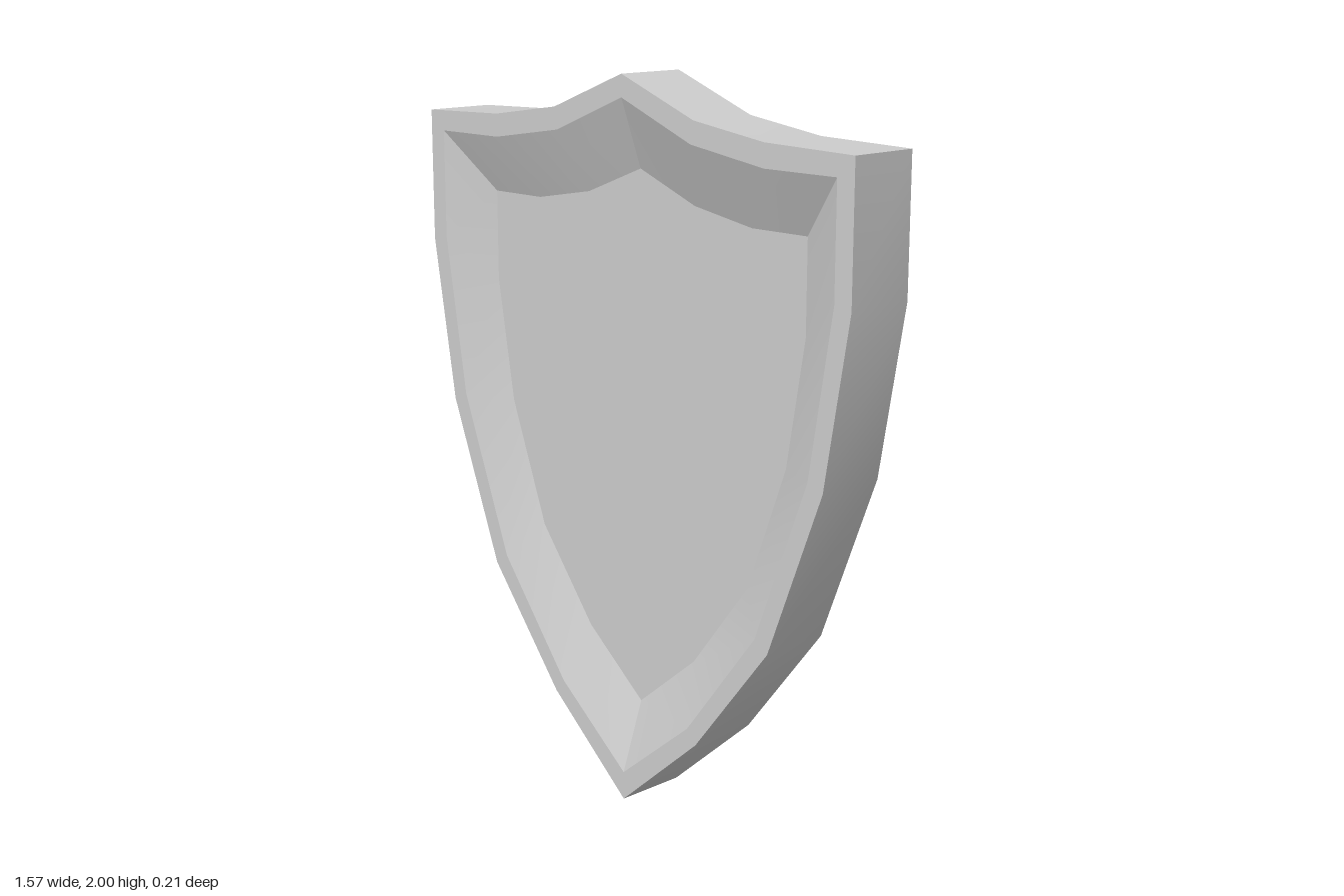
import * as THREE from 'three';
import { mergeGeometries } from 'three/addons/utils/BufferGeometryUtils.js';

// Half outlines, from the top peak over the corner (index 3) down to the tip
const OUTER = [[0, 2], [0.26, 1.9], [0.5, 1.865], [0.787, 1.857], [0.787, 1.49], [0.71, 1.03], [0.535, 0.57], [0.28, 0.245], [0, 0]];
const RIM = [[0, 1.94], [0.25, 1.84], [0.5, 1.802], [0.733, 1.802], [0.733, 1.5], [0.66, 1.05], [0.49, 0.6], [0.248, 0.283], [0, 0.08]];
const FLOOR = [[0, 1.753], [0.2, 1.675], [0.4, 1.64], [0.585, 1.64], [0.585, 1.39], [0.527, 1.045], [0.4, 0.7], [0.205, 0.445], [0, 0.275]];
const CORNER = 3;
const HALF = 0.103; // half the thickness at the rim
const FLOOR_Z = 0.035; // half the thickness of the recessed panel

// Smooth strip between two paths of [x, y, z] points
function strip(a, b) {
  const index = [];
  const n = a.length;
  for (let i = 0; i < n - 1; i++) {
    index.push(i, i + 1, n + i, i + 1, n + i + 1, n + i);
  }
  const g = new THREE.BufferGeometry();
  g.setAttribute('position', new THREE.Float32BufferAttribute([...a, ...b].flat(), 3));
  g.setIndex(index);
  g.computeVertexNormals();
  return g;
}

// Band all the way round, split at the peak, corners and tip to keep them sharp
function band(inner, zInner, outer, zOuter) {
  const parts = [];
  for (const side of [1, -1]) {
    for (const [from, to] of [[0, CORNER], [CORNER, OUTER.length - 1]]) {
      const run = (outline, z) => {
        const path = outline.slice(from, to + 1).map(([x, y]) => [side * x, y, z]);
        return side > 0 ? path : path.reverse();
      };
      parts.push(strip(run(inner, zInner), run(outer, zOuter)));
    }
  }
  return mergeGeometries(parts);
}

// Flat panel filling a mirrored outline
function panel(half) {
  const left = half.slice(1, -1).reverse().map(([x, y]) => [-x, y]);
  const points = [...half, ...left].map(([x, y]) => new THREE.Vector2(x, y));
  return new THREE.ShapeGeometry(new THREE.Shape(points));
}

export function createModel() {
  const shield = new THREE.Group();
  shield.name = 'shield';
  const material = new THREE.MeshStandardMaterial({ color: 0xcccccc });
  const add = (parent, name, geometry) => {
    const mesh = new THREE.Mesh(geometry, material);
    mesh.name = name;
    parent.add(mesh);
    return mesh;
  };

  // Outer edge wall
  add(shield, 'edgeWall', band(OUTER, HALF, OUTER, -HALF));

  // The same recessed face on front and back
  for (const [name, turn] of [['front', 0], ['back', Math.PI]]) {
    const face = new THREE.Group();
    face.name = name + 'Face';
    face.rotation.y = turn;
    add(face, name + 'Rim', band(RIM, HALF, OUTER, HALF));
    add(face, name + 'Bevel', band(FLOOR, FLOOR_Z, RIM, HALF));
    add(face, name + 'Panel', panel(FLOOR)).position.z = FLOOR_Z;
    shield.add(face);
  }
  return shield;
}
